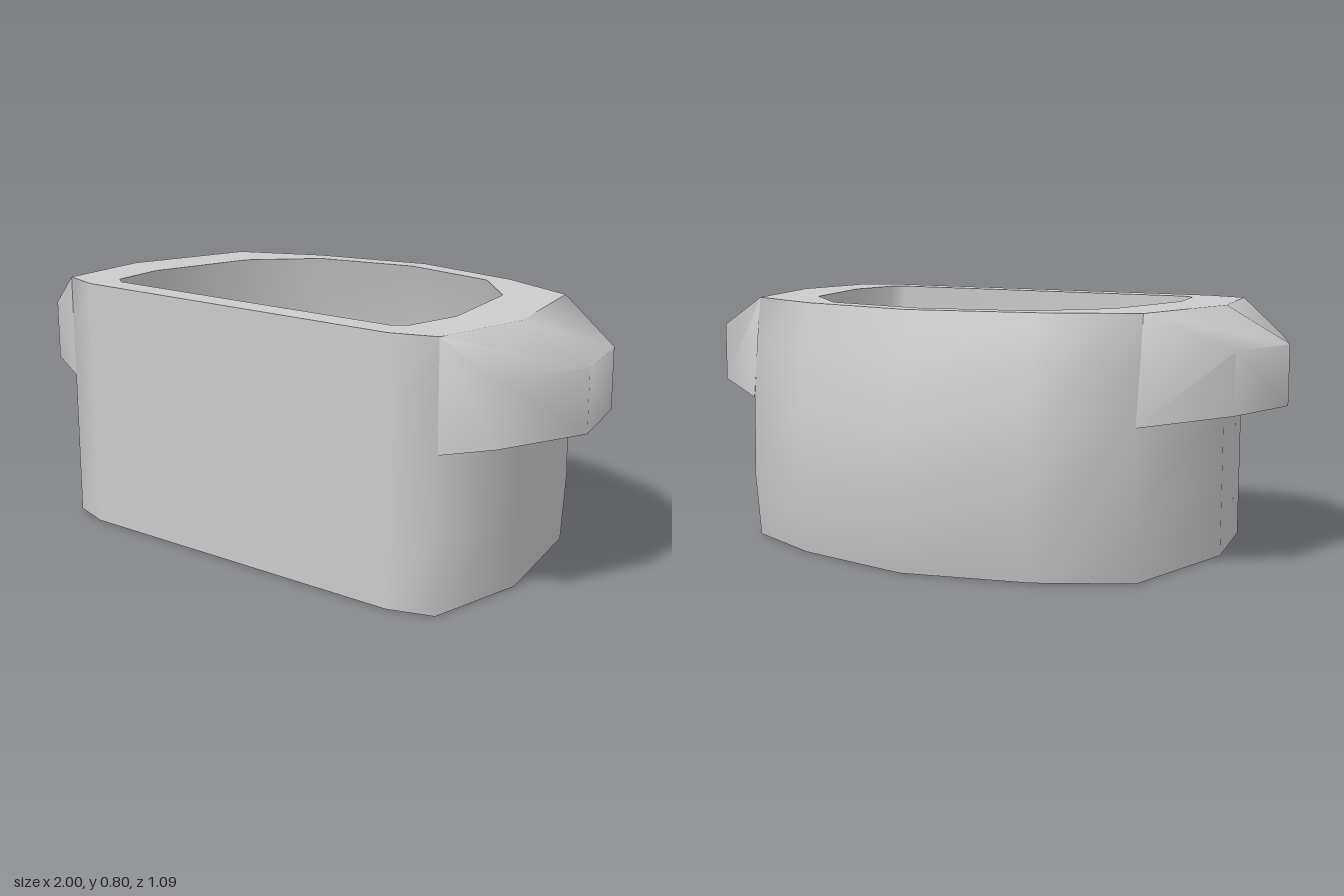
import * as THREE from 'three';
import { toCreasedNormals } from 'three/addons/utils/BufferGeometryUtils.js';

const material = new THREE.MeshStandardMaterial({ color: 0xcccccc });

// Skins a series of closed rings and caps both ends.
// Rings run counter-clockwise when seen from the last ring's side.
function loft(rings, name) {
  const n = rings[0].length, index = [];
  for (let r = 0; r < rings.length - 1; r++) {
    for (let i = 0; i < n; i++) {
      const a = r * n + i, b = r * n + (i + 1) % n;
      index.push(a, b, b + n, a, b + n, a + n);
    }
  }
  const last = (rings.length - 1) * n;
  for (let i = 1; i < n - 1; i++) {
    index.push(0, i + 1, i, last, last + i, last + i + 1);
  }
  const geometry = new THREE.BufferGeometry();
  geometry.setAttribute('position', new THREE.Float32BufferAttribute(rings.flat(2), 3));
  geometry.setIndex(index);
  const mesh = new THREE.Mesh(toCreasedNormals(geometry, 1.17), material);
  mesh.name = name;
  return mesh;
}

// Half plans from front to back: x, z, how far the point moves back with the bulge
const outerPlan = [[0.6, 0.545, 0], [0.74, 0.5, 0], [0.79, 0.17, 0], [0.68, -0.25, 0.05], [0.4, -0.37, 0.085], [0, -0.45, 0.095]];
const innerPlan = [[0.545, 0.46, 0], [0.585, 0.43, 0], [0.615, 0.24, 0], [0.535, -0.12, 0.05], [0.35, -0.31, 0.085], [0, -0.38, 0.095]];

// Mirrors a half plan into a full ring at height y
function ring(plan, y, bulge) {
  const half = plan.map(([x, z, k]) => [x, y, z - k * bulge]);
  const mirrored = half.slice(0, -1).reverse().map(([x, h, z]) => [-x, h, z]);
  return [...half, ...mirrored];
}

export function createModel() {
  const group = new THREE.Group();
  group.name = 'basin';

  // Bowl: outer wall upwards, flat rim, then the cavity downwards to its floor
  const levels = [[0, 0.47], [0.21, 1], [0.47, 0.85], [0.65, 0.47], [0.8, 0]];
  const outside = levels.map(([y, b]) => ring(outerPlan, y, b));
  const inside = levels.slice(1).reverse().map(([y, b]) => ring(innerPlan, y, b));
  group.add(loft([...outside, ...inside], 'bowl'));

  // Side grips: inner x, top z, bottom z, then outer x, z
  const stations = [[0.74, 0.5, 0.5, 0.89, 0.44], [0.79, 0.17, 0.17, 1, 0.15], [0.68, -0.25, -0.295, 0.92, -0.13]];
  for (const side of [1, -1]) {
    const sections = stations.map(([ix, topZ, bottomZ, ox, oz]) => {
      const section = [
        [side * ix, 0.8, topZ], [side * ox, 0.69, oz],
        [side * ox, 0.5, oz], [side * ix, 0.47, bottomZ],
      ];
      return side > 0 ? section : section.reverse();
    });
    group.add(loft(sections, side > 0 ? 'leftGrip' : 'rightGrip'));
  }
  return group;
}
